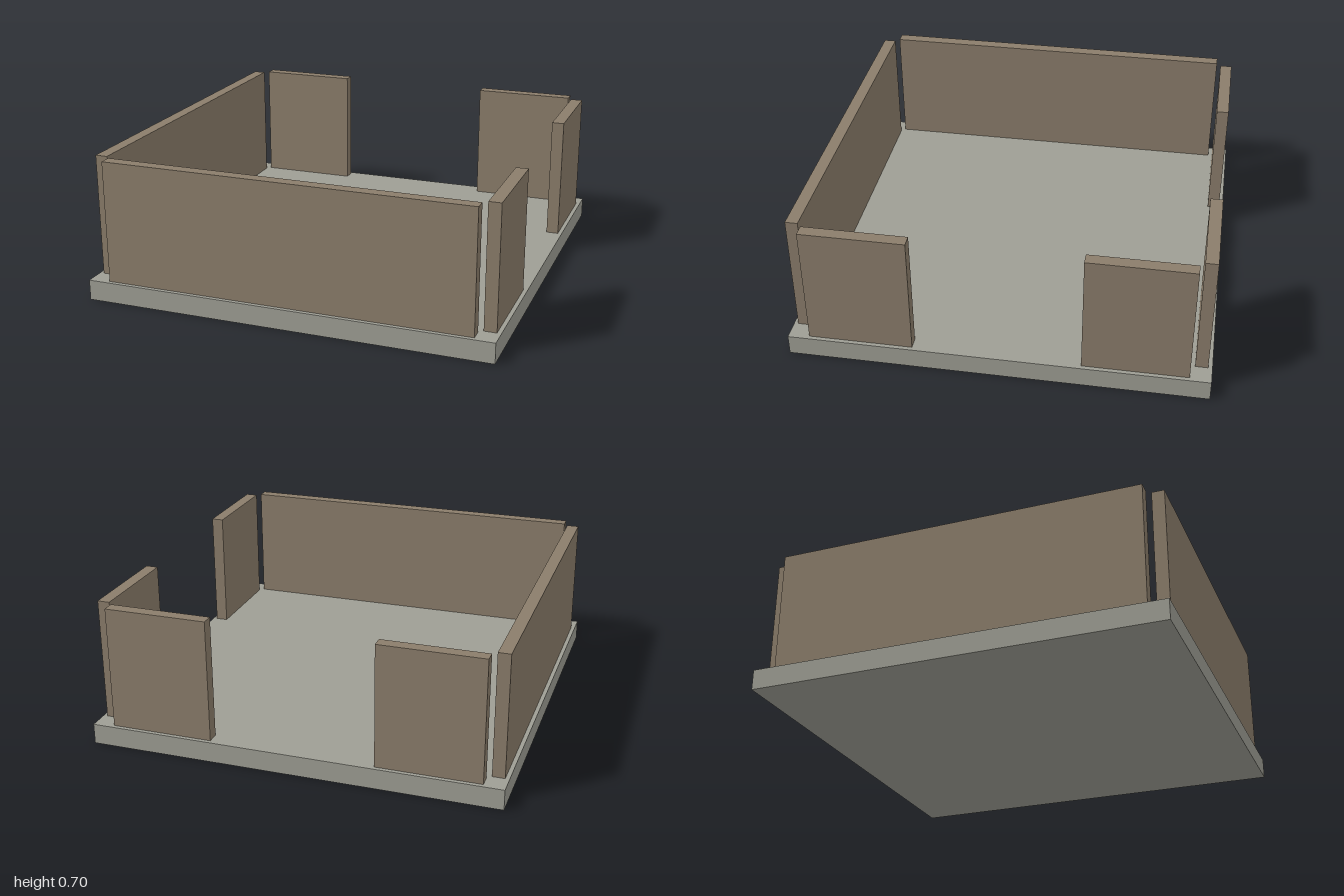
import * as THREE from 'three';

const FLOOR_HEIGHT = 0.1;
const WALL_HEIGHT = 0.6;
const WALL_THICKNESS = 0.06;
const WALL_OFFSET = 0.95; // wall centre line, inset from the slab edge

export function createModel() {
  const model = new THREE.Group();
  model.name = 'room';

  const stone = new THREE.MeshStandardMaterial({ color: 0x9e9e94 });
  stone.name = 'grey stone';
  const plaster = new THREE.MeshStandardMaterial({ color: 0x8b7d6b });
  plaster.name = 'brown wall';

  // Floor slab
  const floor = new THREE.Mesh(new THREE.BoxGeometry(2, FLOOR_HEIGHT, 2), stone);
  floor.name = 'floor';
  floor.position.y = FLOOR_HEIGHT / 2;
  model.add(floor);

  // Wall panel running from start to end along x, or along z when alongZ is set
  function addWall(name, start, end, offset, alongZ) {
    const length = end - start;
    const middle = (start + end) / 2;
    const size = alongZ ? [WALL_THICKNESS, WALL_HEIGHT, length] : [length, WALL_HEIGHT, WALL_THICKNESS];
    const wall = new THREE.Mesh(new THREE.BoxGeometry(...size), plaster);
    wall.name = name;
    wall.position.set(alongZ ? offset : middle, FLOOR_HEIGHT + WALL_HEIGHT / 2, alongZ ? middle : offset);
    model.add(wall);
  }

  // Solid walls
  addWall('frontWall', -0.9, 0.9, WALL_OFFSET, false);
  addWall('rightWall', -0.9, 0.9, -WALL_OFFSET, true);

  // Walls split by a wide doorway
  addWall('backWallRight', -0.9, -0.4, -WALL_OFFSET, false);
  addWall('backWallLeft', 0.4, 0.9, -WALL_OFFSET, false);
  addWall('leftWallBack', -0.9, -0.4, WALL_OFFSET, true);
  addWall('leftWallFront', 0.4, 0.9, WALL_OFFSET, true);

  return model;
}
